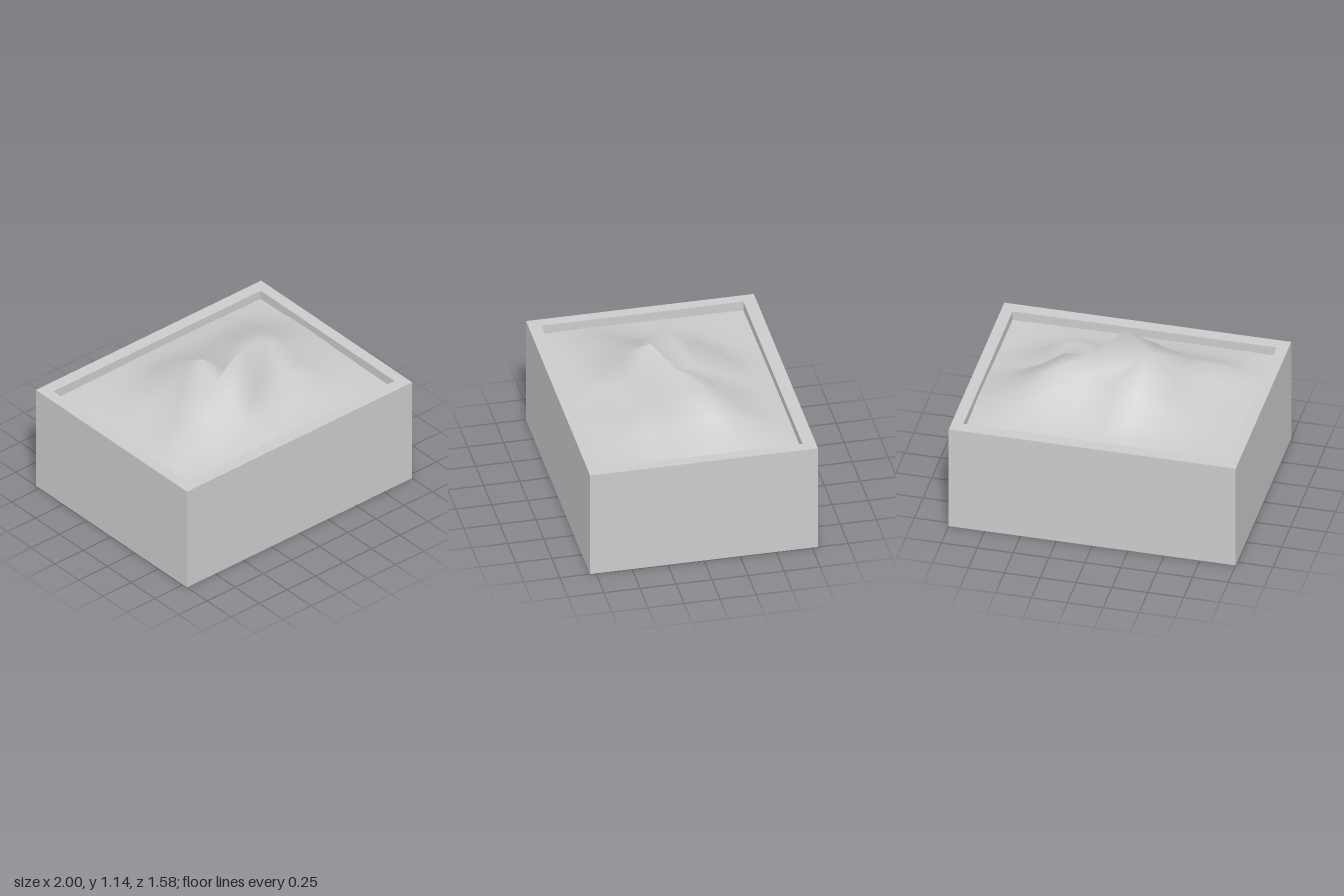
import * as THREE from 'three';

const WIDTH = 2, DEPTH = 1.58, HEIGHT = 0.79;
const INNER_W = 1.84, INNER_D = 1.4;
const STEP_X = 0.195, STEP_Z = 0.15, CELLS = 10, EDGE = 72;

// Terrain heights in hundredths: rows run back (z = -0.6) to front (z = 0.6),
// columns from x = -0.78 to x = 0.78.
const HEIGHTS = [
  [73, 73, 74, 75, 75, 75, 75, 74, 73],
  [73, 74, 76, 81, 78, 79, 80, 81, 74],
  [73, 76, 82, 94, 85, 88, 87, 86, 77],
  [74, 77, 85, 101, 91, 95, 98, 88, 78],
  [74, 78, 87, 110, 93, 102, 99, 85, 77],
  [75, 81, 90, 99, 114, 83, 82, 78, 75],
  [75, 86, 88, 96, 88, 77, 90, 81, 74],
  [74, 78, 78, 80, 82, 76, 76, 75, 73],
  [73, 74, 74, 74, 74, 74, 74, 73, 73],
];

function rectangle(PathType, w, d) {
  return new PathType([
    new THREE.Vector2(-w / 2, -d / 2), new THREE.Vector2(w / 2, -d / 2),
    new THREE.Vector2(w / 2, d / 2), new THREE.Vector2(-w / 2, d / 2),
  ]);
}

function terrainGeometry() {
  const geo = new THREE.PlaneGeometry(STEP_X * CELLS, STEP_Z * CELLS, CELLS, CELLS);
  geo.rotateX(-Math.PI / 2);
  const pos = geo.attributes.position;
  for (let i = 0; i < pos.count; i++) {
    const col = i % (CELLS + 1), row = Math.floor(i / (CELLS + 1));
    pos.setY(i, (HEIGHTS[row - 1]?.[col - 1] ?? EDGE) / 100);
  }
  geo.computeVertexNormals();
  return geo;
}

export function createModel() {
  const group = new THREE.Group();
  group.name = 'terrainBox';
  const material = new THREE.MeshStandardMaterial({ color: 0xcccccc });
  const add = (name, geometry, mat = material) => {
    const mesh = new THREE.Mesh(geometry, mat);
    mesh.name = name;
    group.add(mesh);
    return mesh;
  };

  // Rim and side walls around the open tray
  const outline = rectangle(THREE.Shape, WIDTH, DEPTH);
  outline.holes.push(rectangle(THREE.Path, INNER_W, INNER_D));
  const walls = new THREE.ExtrudeGeometry(outline, { depth: HEIGHT, bevelEnabled: false });
  walls.rotateX(-Math.PI / 2);
  add('walls', walls);

  // Closed bottom
  add('bottom', new THREE.BoxGeometry(INNER_W, 0.05, INNER_D)).position.y = 0.025;

  // Smooth landscape whose edges run into the walls
  const sand = material.clone();
  sand.side = THREE.DoubleSide;
  add('terrain', terrainGeometry(), sand);

  return group;
}
